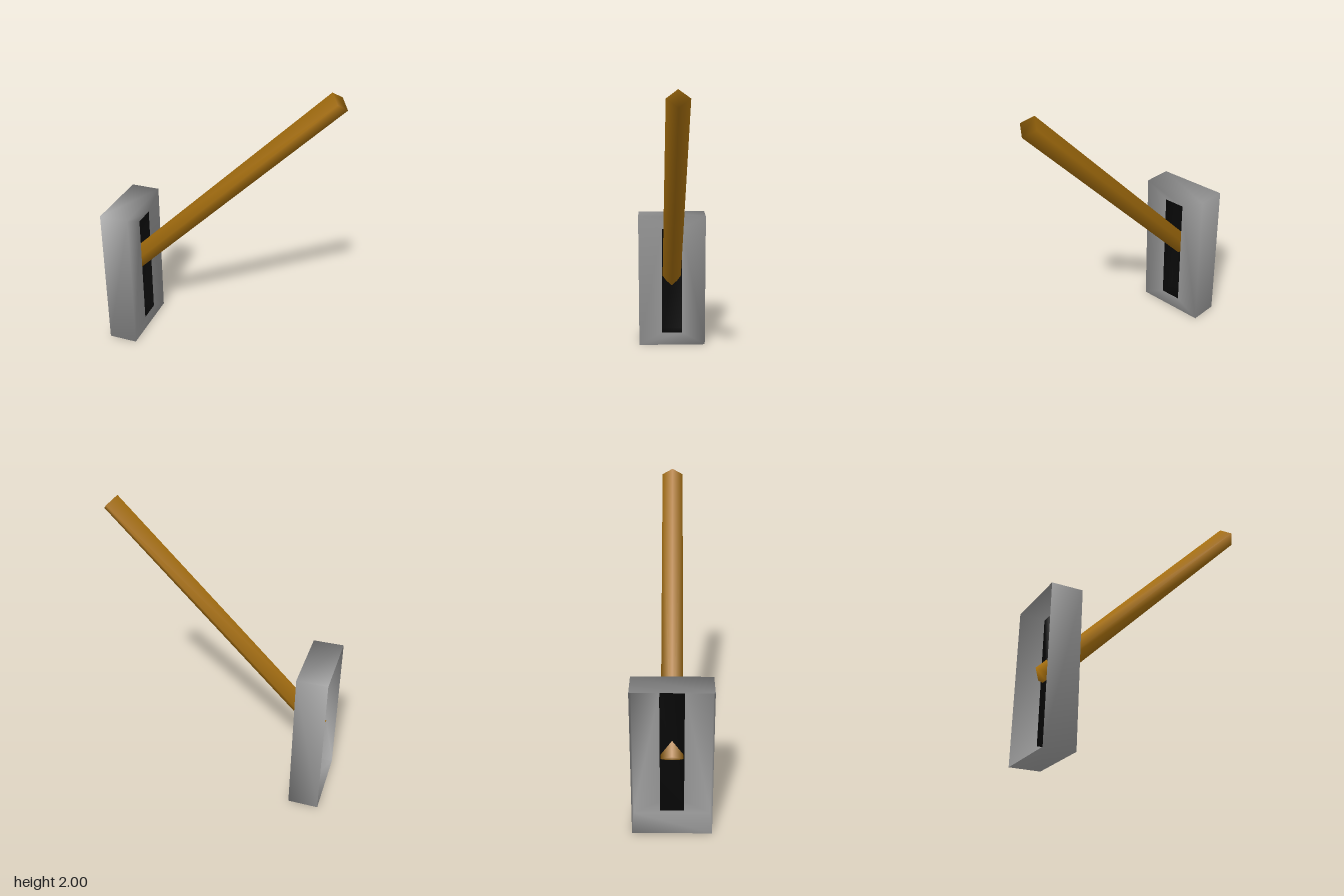
import * as THREE from 'three';

// Rectangular ring in the plane x, counter-clockwise seen from +x
const ring = (x, y0, y1, w) => [[x, y0, w], [x, y0, -w], [x, y1, -w], [x, y1, w]];

// Diamond ring around the 45 degree handle axis: top, left, bottom, right corner
const diamond = (x, y, d, w) => [[x - d, y + d, 0], [x, y, w], [x + d, y - d, 0], [x, y, -w]];

// Joins successive four-cornered rings with smooth quads and optional end caps;
// the quad diagonals mirror each other so the shading is symmetrical
function loft(rings, closeStart, closeEnd) {
  const index = [];
  for (let r = 0; r < rings.length - 1; r++) {
    for (let i = 0; i < 4; i++) {
      const a = r * 4 + i, b = r * 4 + (i + 1) % 4, c = b + 4, d = a + 4;
      if (i < 2) index.push(a, b, c, a, c, d);
      else index.push(a, b, d, b, c, d);
    }
  }
  if (closeStart) index.push(0, 2, 1, 0, 3, 2);
  if (closeEnd) {
    const k = (rings.length - 1) * 4;
    index.push(k, k + 1, k + 2, k, k + 2, k + 3);
  }
  const geometry = new THREE.BufferGeometry();
  geometry.setAttribute('position', new THREE.Float32BufferAttribute(rings.flat(2), 3));
  geometry.setIndex(index);
  geometry.computeVertexNormals();
  return geometry;
}

function addMesh(group, name, geometry, color) {
  const material = new THREE.MeshStandardMaterial({ color, side: THREE.DoubleSide });
  const mesh = new THREE.Mesh(geometry, material);
  mesh.name = name;
  group.add(mesh);
}

export function createModel() {
  const group = new THREE.Group();
  group.name = 'wallLever';

  const back = -0.79, front = -0.585, recess = -0.69;
  const slotRing = ring(front, 0.1, 0.925, 0.077);

  // Thin housing, open towards the wall, with a slot in its face
  addMesh(group, 'housing',
    loft([ring(back, 0, 1.02, 0.255), ring(front, 0, 1.02, 0.255), slotRing], false, false), 0x969696);

  // Black tray sunk into the slot
  addMesh(group, 'slotRecess',
    loft([slotRing, ring(recess, 0.1, 0.925, 0.077)], false, true), 0x080808);

  // Four-sided handle, its lower end piercing the tray
  addMesh(group, 'handle',
    loft([diamond(-0.71, 0.51, 0.05, 0.071), diamond(0.735, 1.95, 0.05, 0.071)], true, true), 0xa8700e);

  return group;
}
